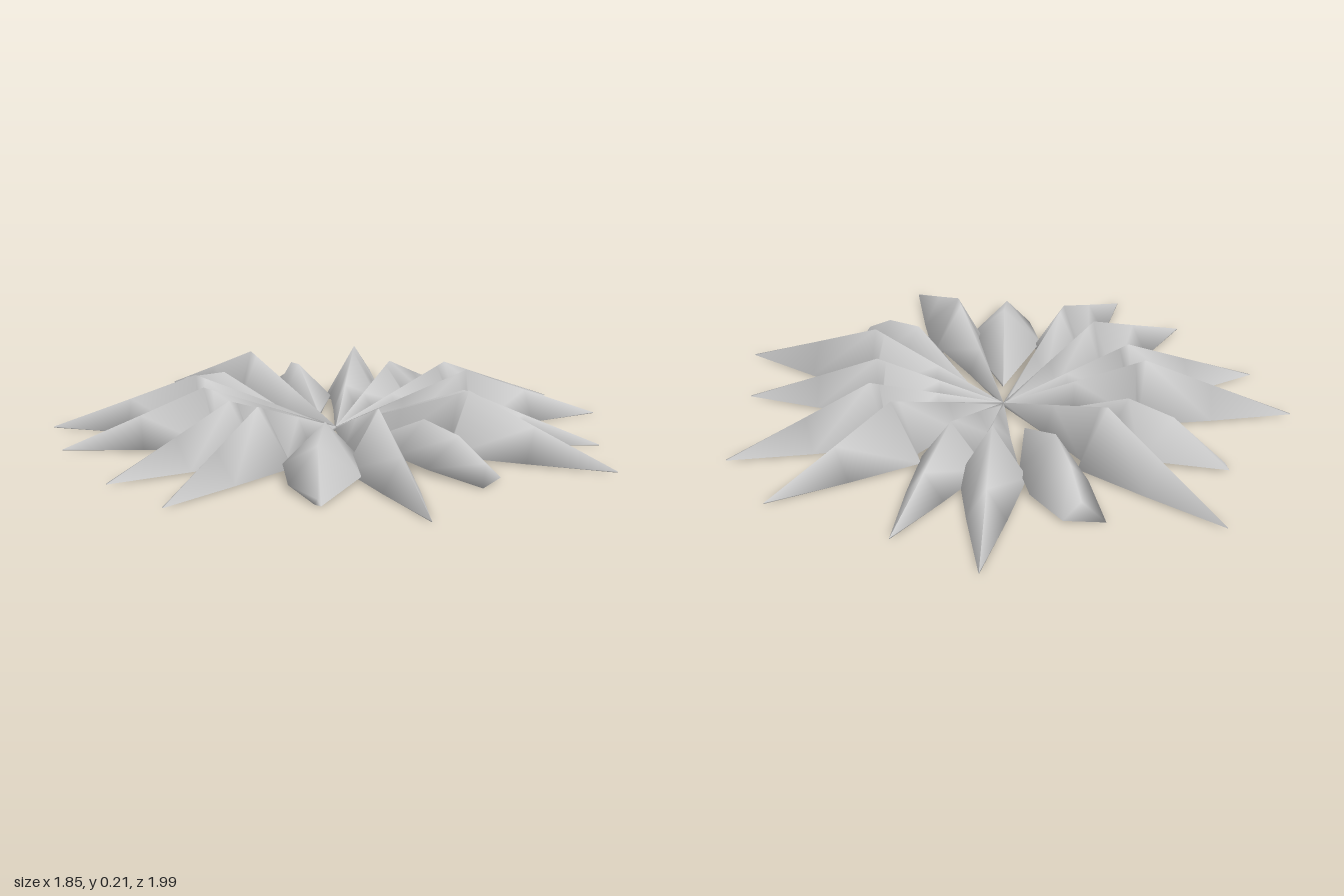
import * as THREE from 'three';

const material = new THREE.MeshStandardMaterial({ color: 0xcccccc, side: THREE.DoubleSide });
const CENTRE_X = -0.03;

// Smooth closed body over cross-sections, each [leftEdge, ridge, rightEdge] as [x, y, z],
// with an underside running midway between the edges
function leafBody(sections, name) {
  const rings = sections.map(([l, ridge, r]) => [l, ridge, r, l.map((v, k) => (v + r[k]) / 2)]);
  const geometry = new THREE.BufferGeometry();
  geometry.setAttribute('position', new THREE.Float32BufferAttribute(rings.flat(2), 3));
  const index = [];
  for (let i = 0; i < rings.length - 1; i++) {
    for (let j = 0; j < 4; j++) {
      const a = i * 4 + j, b = i * 4 + (j + 1) % 4, c = a + 4, d = b + 4;
      index.push(a, b, c, b, d, c);
    }
  }
  // Outer end cap
  const end = (rings.length - 1) * 4;
  index.push(end, end + 1, end + 2);
  geometry.setIndex(index);
  geometry.computeVertexNormals();
  const mesh = new THREE.Mesh(geometry, material);
  mesh.name = name;
  return mesh;
}

// Pointed leaf: a narrow inner blade rises to the peak, then steps out to a wider blade falling to the tip
function pointedLeaf({ tip, peak, inner, outer }) {
  const dx = tip[0] - CENTRE_X, dz = tip[1];
  const length = Math.hypot(dx, dz);
  const ux = dx / length, uz = dz / length;
  const at = (r, side, y) => [CENTRE_X + ux * r - uz * side, y, uz * r + ux * side];
  const section = (r, half, ridgeY, edgeY, ridgeR = r) =>
    [at(r, -half, edgeY), at(ridgeR, 0, ridgeY), at(r, half, edgeY)];
  const mid = length * 0.49;
  return leafBody([
    section(0, 0.004, 0.03, 0.02),
    section(mid * 0.5, inner * 0.5, 0.03 + (peak - 0.03) * 0.5, 0.025),
    section(mid * 0.93, inner, 0.03 + (peak - 0.03) * 0.93, 0.03),
    section(mid * 0.95, outer, peak, 0.012, mid),
    section(mid + (length - mid) * 0.45, outer * 0.57, peak * 0.56, 0.008),
    section(length, 0.001, 0.006, 0.003),
  ], 'pointedLeaf');
}

const pointedLeaves = [
  { tip: [0.925, 0.155], peak: 0.195, inner: 0.095, outer: 0.125 },
  { tip: [0.68, 0.53], peak: 0.175, inner: 0.095, outer: 0.115 },
  { tip: [0.54, 0.825], peak: 0.21, inner: 0.085, outer: 0.11 },
  { tip: [-0.23, 0.995], peak: 0.21, inner: 0.08, outer: 0.105 },
  { tip: [-0.86, 0.525], peak: 0.2, inner: 0.085, outer: 0.115 },
  { tip: [-0.925, 0.22], peak: 0.19, inner: 0.072, outer: 0.13 },
];

// Broad leaves with cut-off ends that stop short of the centre
const broadLeaves = [
  [
    [[0.001, 0.02, 0.19], [0, 0.03, 0.19], [-0.001, 0.02, 0.19]],
    [[0.16, 0.03, 0.42], [0.05, 0.15, 0.46], [-0.035, 0.03, 0.42]],
    [[0.2, 0.02, 0.55], [0.09, 0.125, 0.61], [-0.005, 0.02, 0.57]],
    [[0.18, 0.005, 0.71], [0.12, 0.06, 0.72], [0.07, 0.005, 0.785]],
  ],
  [
    [[-0.099, 0.02, 0.12], [-0.1, 0.03, 0.12], [-0.101, 0.02, 0.12]],
    [[-0.15, 0.03, 0.43], [-0.27, 0.165, 0.4], [-0.39, 0.03, 0.34]],
    [[-0.22, 0.02, 0.55], [-0.36, 0.13, 0.53], [-0.46, 0.02, 0.53]],
    [[-0.445, 0.005, 0.725], [-0.445, 0.02, 0.7], [-0.455, 0.005, 0.7]],
  ],
];

export function createModel() {
  const model = new THREE.Group();
  model.name = 'leafRosette';
  // Each half of the rosette mirrors the other across z
  for (const side of [1, -1]) {
    const half = new THREE.Group();
    half.name = side > 0 ? 'frontHalf' : 'backHalf';
    pointedLeaves.forEach((leaf) => half.add(pointedLeaf(leaf)));
    broadLeaves.forEach((sections) => half.add(leafBody(sections, 'broadLeaf')));
    half.scale.z = side;
    model.add(half);
  }
  return model;
}
